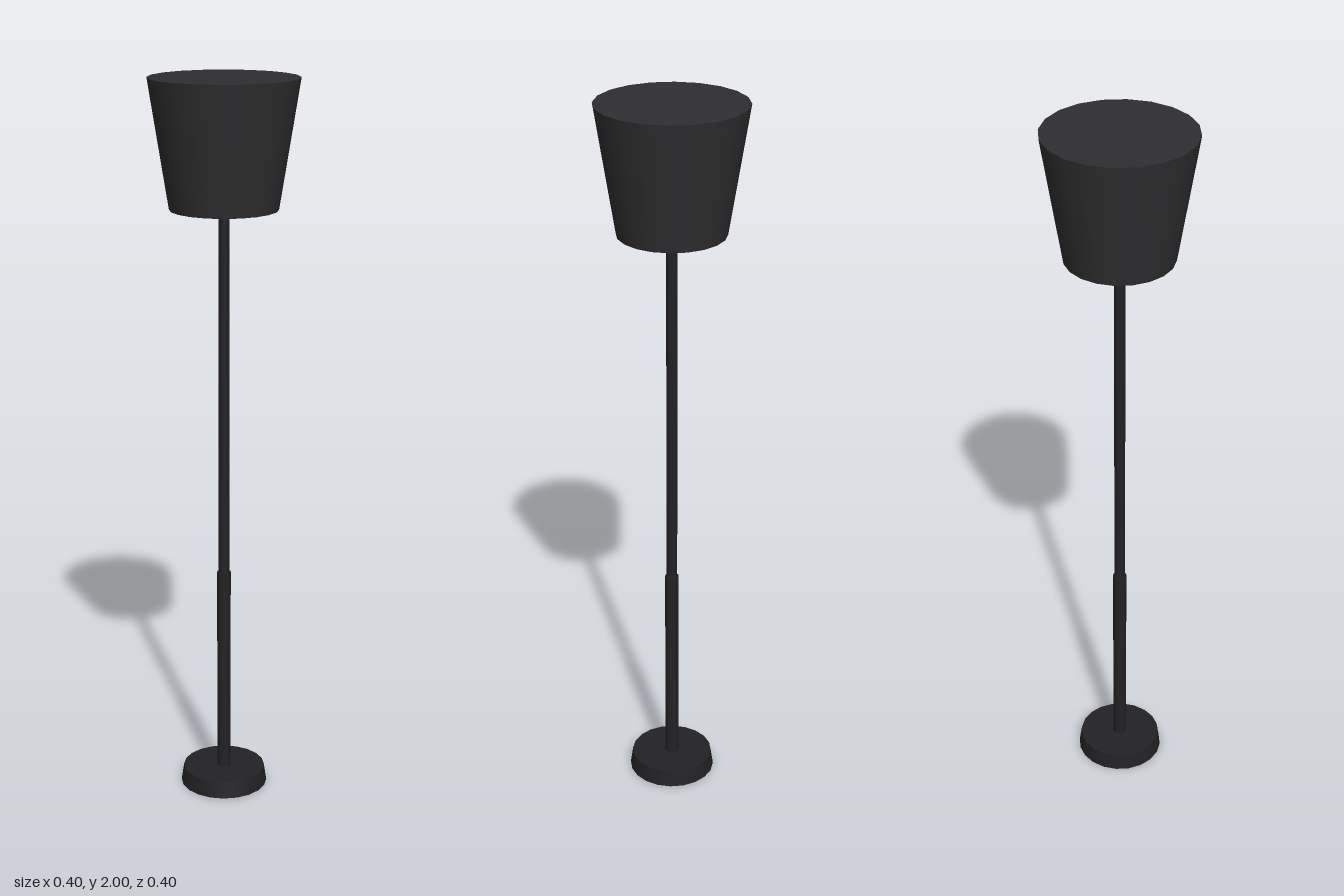
import * as THREE from 'three';

const shadeMaterial = new THREE.MeshStandardMaterial({ color: 0x2e2e30 });
const metalMaterial = new THREE.MeshStandardMaterial({ color: 0x222225 });

// Closed, tapered round part standing between two heights
function roundPart(name, topRadius, bottomRadius, y0, y1, sides, material) {
  const geometry = new THREE.CylinderGeometry(topRadius, bottomRadius, y1 - y0, sides);
  const mesh = new THREE.Mesh(geometry, material);
  mesh.name = name;
  mesh.position.y = (y0 + y1) / 2;
  return mesh;
}

export function createModel() {
  const lamp = new THREE.Group();
  lamp.name = 'floorLamp';
  lamp.add(
    // Weighted foot, slightly narrower at the top
    roundPart('base', 0.115, 0.122, 0, 0.048, 20, metalMaterial),
    // Thicker sleeve around the foot of the pole
    roundPart('lowerPole', 0.019, 0.019, 0.04, 0.64, 20, metalMaterial),
    // Slim pole running up into the shade
    roundPart('upperPole', 0.015, 0.015, 0.6, 1.68, 20, metalMaterial),
    // Solid shade flaring upwards
    roundPart('shade', 0.2, 0.145, 1.657, 2, 20, shadeMaterial),
  );
  return lamp;
}
